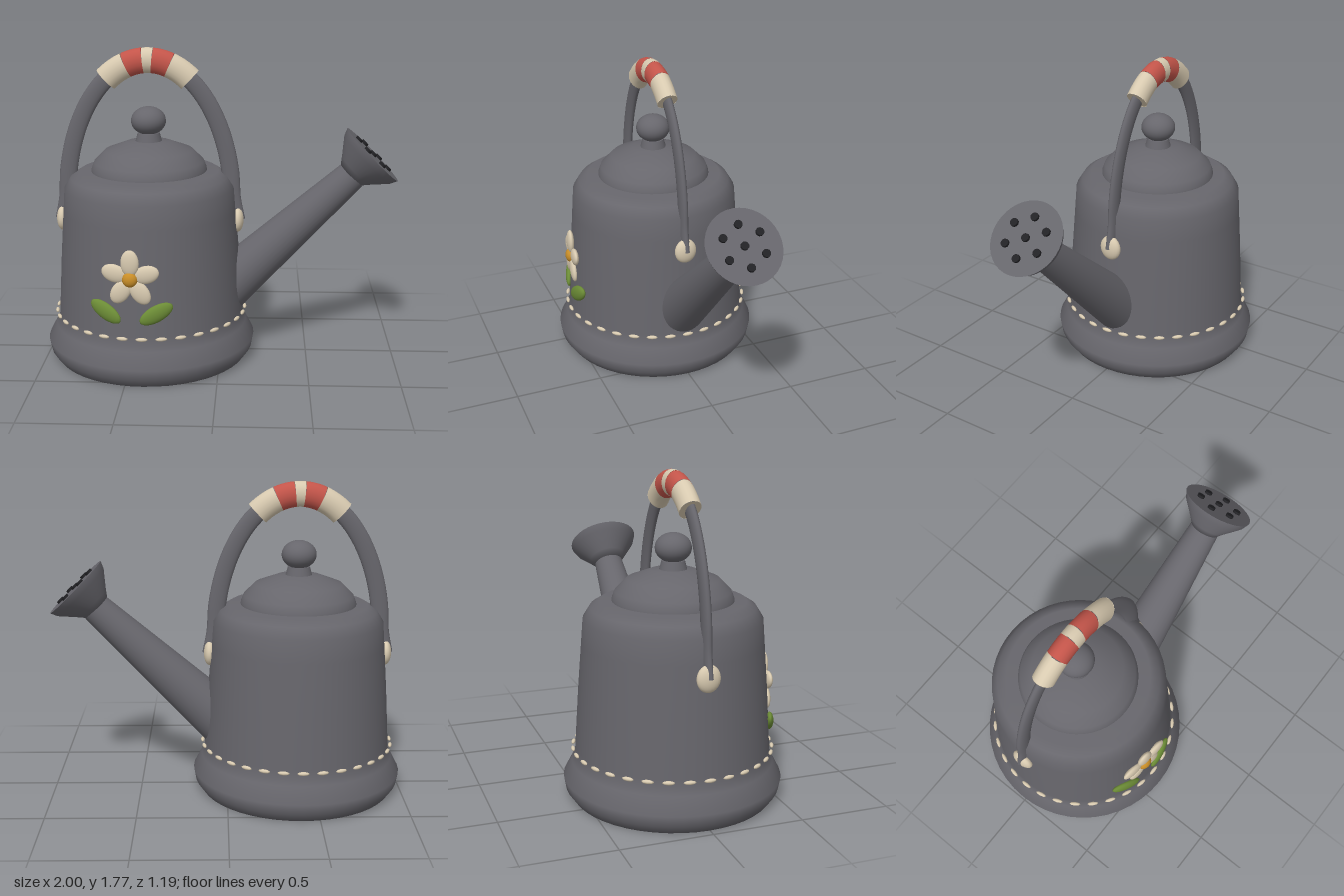
import * as THREE from 'three';

const mat = (name, color, side = THREE.FrontSide) => {
  const m = new THREE.MeshStandardMaterial({ color, side });
  m.name = name;
  return m;
};

export function createModel() {
  const enamel = mat('grey enamel', 0x67666c);
  const cream = mat('cream', 0xd8cab0, THREE.DoubleSide);
  const red = mat('red', 0xc4554a, THREE.DoubleSide);
  const green = mat('leaf green', 0x6c8c36);
  const gold = mat('gold', 0xc98e28);
  const dark = mat('dark hole', 0x222225);

  const model = new THREE.Group();
  model.name = 'wateringCan';
  const can = new THREE.Group(); // everything is measured from the can's axis
  can.name = 'can';
  can.position.x = -0.403;
  model.add(can);

  const add = (parent, name, geometry, material, x = 0, y = 0, z = 0) => {
    const mesh = new THREE.Mesh(geometry, material);
    mesh.name = name;
    mesh.position.set(x, y, z);
    parent.add(mesh);
    return mesh;
  };
  const lathe = (points, segments = 48) =>
    new THREE.LatheGeometry(points.map(([r, y]) => new THREE.Vector2(r, y)), segments);
  const ellipsoid = (a, b, c, w = 20, h = 14) => new THREE.SphereGeometry(1, w, h).scale(a, b, c);

  // Body with a swollen foot and rounded shoulder
  add(can, 'body', lathe([
    [0, 0], [0.55, 0], [0.586, 0.05], [0.597, 0.11], [0.55, 0.2], [0.534, 0.23],
    [0.53, 0.28], [0.51, 0.6], [0.49, 0.86], [0.48, 0.99], [0.443, 1.05], [0.392, 1.082], [0, 1.09],
  ]), enamel);

  // Domed lid with neck and knob
  add(can, 'lid', lathe([
    [0.327, 1.075], [0.325, 1.095], [0.31, 1.135], [0.247, 1.198], [0.123, 1.245], [0, 1.256],
  ]), enamel);
  add(can, 'knobNeck', new THREE.CylinderGeometry(0.062, 0.078, 0.06, 24), enamel, 0, 1.265);
  add(can, 'knob', ellipsoid(0.098, 0.08, 0.098, 28, 18), enamel, 0, 1.363);

  // Arched handle, a flattened tube
  const arch = (t) => new THREE.Vector3(0.47 * Math.sin(t), 0.9 + 0.8 * Math.cos(t), 0);
  const archPoints = (t0, t1, n) =>
    Array.from({ length: n + 1 }, (_, i) => arch(t0 + ((t1 - t0) * i) / n));
  const handlePath = new THREE.CatmullRomCurve3([
    new THREE.Vector3(-0.495, 0.79, 0),
    ...archPoints(-1.55, 1.55, 16),
    new THREE.Vector3(0.495, 0.79, 0),
  ]);
  add(can, 'handle', new THREE.TubeGeometry(handlePath, 64, 0.05, 16).scale(1, 1, 0.48), enamel);

  // Striped grip in five bands, closed at both ends
  const grip = new THREE.Group();
  grip.name = 'grip';
  can.add(grip);
  const stops = [-0.52, -0.26, -0.055, 0.055, 0.26, 0.52];
  for (let i = 0; i < 5; i++) {
    const path = new THREE.CatmullRomCurve3(archPoints(stops[i], stops[i + 1], 6));
    const band = new THREE.TubeGeometry(path, 8, 0.071, 20).scale(1, 1, 0.81);
    add(grip, 'gripBand', band, i % 2 ? red : cream);
  }
  for (const s of [-1, 1]) {
    const p = arch(s * 0.52);
    const angle = Math.atan2(-0.8 * Math.sin(s * 0.52), 0.47 * Math.cos(0.52));
    const cap = new THREE.CircleGeometry(0.071, 20).rotateY((s * Math.PI) / 2)
      .scale(1, 1, 0.81).rotateZ(angle);
    add(grip, 'gripEnd', cap, cream, p.x, p.y);
    // Button that fixes the handle to the body
    add(can, 'handleButton', ellipsoid(0.034, 0.073, 0.064), cream, s * 0.502, 0.795);
  }

  // Tapered spout
  const start = new THREE.Vector3(0.40, 0.36, 0);
  const end = new THREE.Vector3(1.146, 1.063, 0);
  const along = end.clone().sub(start);
  const spout = add(can, 'spout',
    new THREE.CylinderGeometry(0.085, 0.15, along.length(), 32), enamel);
  spout.position.copy(start).lerp(end, 0.5);
  spout.quaternion.setFromUnitVectors(new THREE.Vector3(0, 1, 0), along.normalize());

  // Sprinkler rose with seven holes, facing up and outward
  const rose = new THREE.Group();
  rose.name = 'rose';
  rose.position.set(1.258, 1.182, 0);
  rose.rotation.z = -Math.PI / 4;
  can.add(rose);
  add(rose, 'roseCone', lathe([
    [0, -0.17], [0.083, -0.17], [0.11, -0.135], [0.186, -0.045], [0.204, -0.004],
  ], 36), enamel);
  add(rose, 'roseFace', new THREE.CircleGeometry(0.204, 36).rotateX(-Math.PI / 2), enamel, 0, -0.004);
  const hole = new THREE.CylinderGeometry(0.022, 0.022, 0.02, 10);
  add(rose, 'roseHole', hole, dark);
  for (let i = 0; i < 6; i++) {
    const a = (i * Math.PI) / 3;
    add(rose, 'roseHole', hole, dark, 0.115 * Math.cos(a), 0, 0.115 * Math.sin(a));
  }

  // Ring of stitches above the foot
  const stitches = new THREE.Group();
  stitches.name = 'stitches';
  can.add(stitches);
  const stitch = ellipsoid(0.011, 0.011, 0.033, 8, 8);
  for (let i = 0; i < 32; i++) {
    const a = (i * Math.PI * 2) / 32;
    const s = add(stitches, 'stitch', stitch, cream, 0.544 * Math.cos(a), 0.27, 0.544 * Math.sin(a));
    s.rotation.y = -a;
  }

  // Decoration laid on the curved front: x is the offset from the axis, r the wall radius
  const onWall = (name, x, y, r) => {
    const g = new THREE.Group();
    g.name = name;
    g.position.set(x, y, Math.sqrt(r * r - x * x));
    g.rotation.y = Math.asin(x / r);
    can.add(g);
    return g;
  };
  const flower = onWall('flower', -0.058, 0.6, 0.512);
  add(flower, 'flowerCentre', ellipsoid(0.042, 0.042, 0.03), gold, 0, 0, 0.008);
  for (let i = 0; i < 5; i++) {
    const a = (i * Math.PI * 2) / 5;
    const x = -0.09 * Math.sin(a);
    const petal = add(flower, 'petal', ellipsoid(0.05, 0.073, 0.022), cream,
      x, 0.09 * Math.cos(a), -x * x + 0.004);
    petal.rotation.z = a;
  }
  for (const s of [-1, 1]) {
    const leaf = onWall('leaf', -0.058 + s * 0.138, 0.41, 0.526);
    add(leaf, 'leafBlade', ellipsoid(0.1, 0.046, 0.024).rotateZ(s * 0.5), green);
  }

  return model;
}
